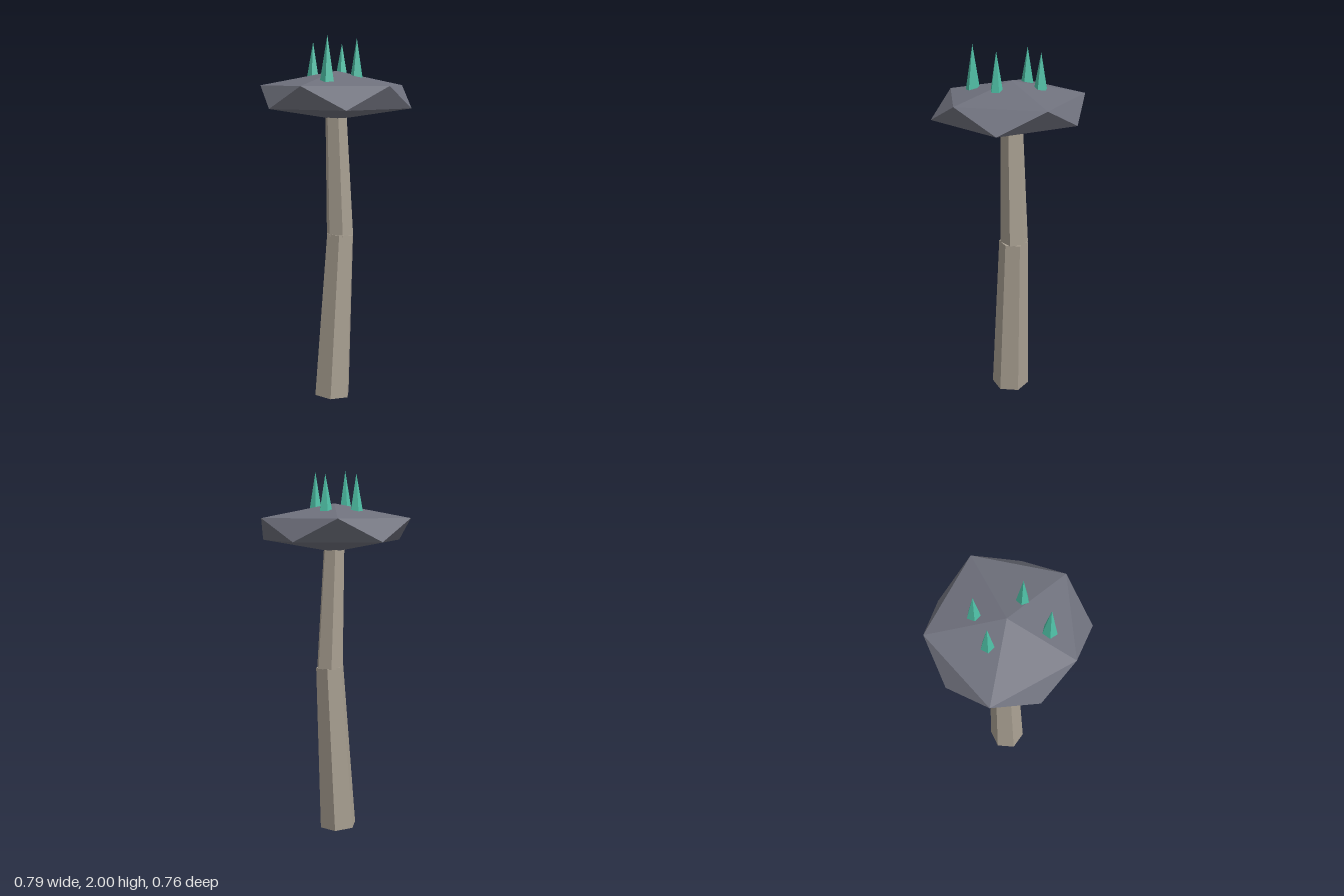
import * as THREE from 'three';

const mat = (name, color) => {
  const m = new THREE.MeshStandardMaterial({ color });
  m.name = name;
  m.flatShading = true;
  return m;
};

// Tapered prism from point a to point b, with its first corner at `turn` degrees
function prism(name, a, b, r0, r1, sides, turn, material) {
  const from = new THREE.Vector3(...a), to = new THREE.Vector3(...b);
  const axis = to.clone().sub(from);
  const geo = new THREE.CylinderGeometry(r1, r0, axis.length(), sides, 1, false, THREE.MathUtils.degToRad(turn));
  const mesh = new THREE.Mesh(geo, material);
  mesh.name = name;
  mesh.position.copy(from).add(to).multiplyScalar(0.5);
  mesh.quaternion.setFromUnitVectors(new THREE.Vector3(0, 1, 0), axis.normalize());
  return mesh;
}

// Flattened, slightly irregular twenty-sided rock
function rockGeometry() {
  const top = [0, 1.82, 0.01], bottom = [0, 1.56, 0.005];
  const upper = [[0.395, 1.742, 0.01], [0.115, 1.742, 0.365], [-0.34, 1.742, 0.258], [-0.322, 1.742, -0.222], [0.125, 1.742, -0.38]];
  const lower = [[0.34, 1.622, 0.262], [-0.122, 1.622, 0.377], [-0.398, 1.622, 0.01], [-0.122, 1.622, -0.354], [0.33, 1.622, -0.232]];
  const points = [];
  for (let i = 0; i < 5; i++) {
    const j = (i + 1) % 5;
    points.push(
      top, upper[j], upper[i],
      upper[i], upper[j], lower[i],
      lower[i], upper[j], lower[j],
      bottom, lower[i], lower[j]
    );
  }
  const geo = new THREE.BufferGeometry();
  geo.setAttribute('position', new THREE.Float32BufferAttribute(points.flat(), 3));
  geo.computeVertexNormals();
  return geo;
}

export function createModel() {
  const model = new THREE.Group();
  model.name = 'crystalMushroom';
  const stemMat = mat('stem beige', 0xa89f91);
  const rockMat = mat('rock grey', 0x6f717d);
  const crystalMat = mat('crystal teal', 0x4ebfa5);

  // Bent stem in two six-sided pieces
  model.add(prism('lowerStem', [-0.012, 0.006, 0.03], [0.006, 0.928, -0.016], 0.105, 0.08, 6, 42, stemMat));
  model.add(prism('upperStem', [0.002, 0.92, -0.018], [-0.003, 1.6, 0.008], 0.077, 0.06, 6, -2, stemMat));

  // Cap
  const cap = new THREE.Mesh(rockGeometry(), rockMat);
  cap.name = 'cap';
  model.add(cap);

  // Spikes: x, z, base y, tip y, radius, turn
  const crystals = new THREE.Group();
  crystals.name = 'crystals';
  [
    [0.115, 0.18, 1.76, 2.0, 0.04, 177],
    [0.13, -0.018, 1.775, 1.99, 0.036, 90],
    [-0.15, 0.04, 1.775, 1.975, 0.036, 178],
    [-0.09, -0.12, 1.78, 1.97, 0.036, 180],
  ].forEach(([x, z, y0, y1, r, turn], i) => {
    crystals.add(prism('crystal' + (i + 1), [x, y0, z], [x, y1, z], r, 0, 5, turn, crystalMat));
  });
  model.add(crystals);
  return model;
}
